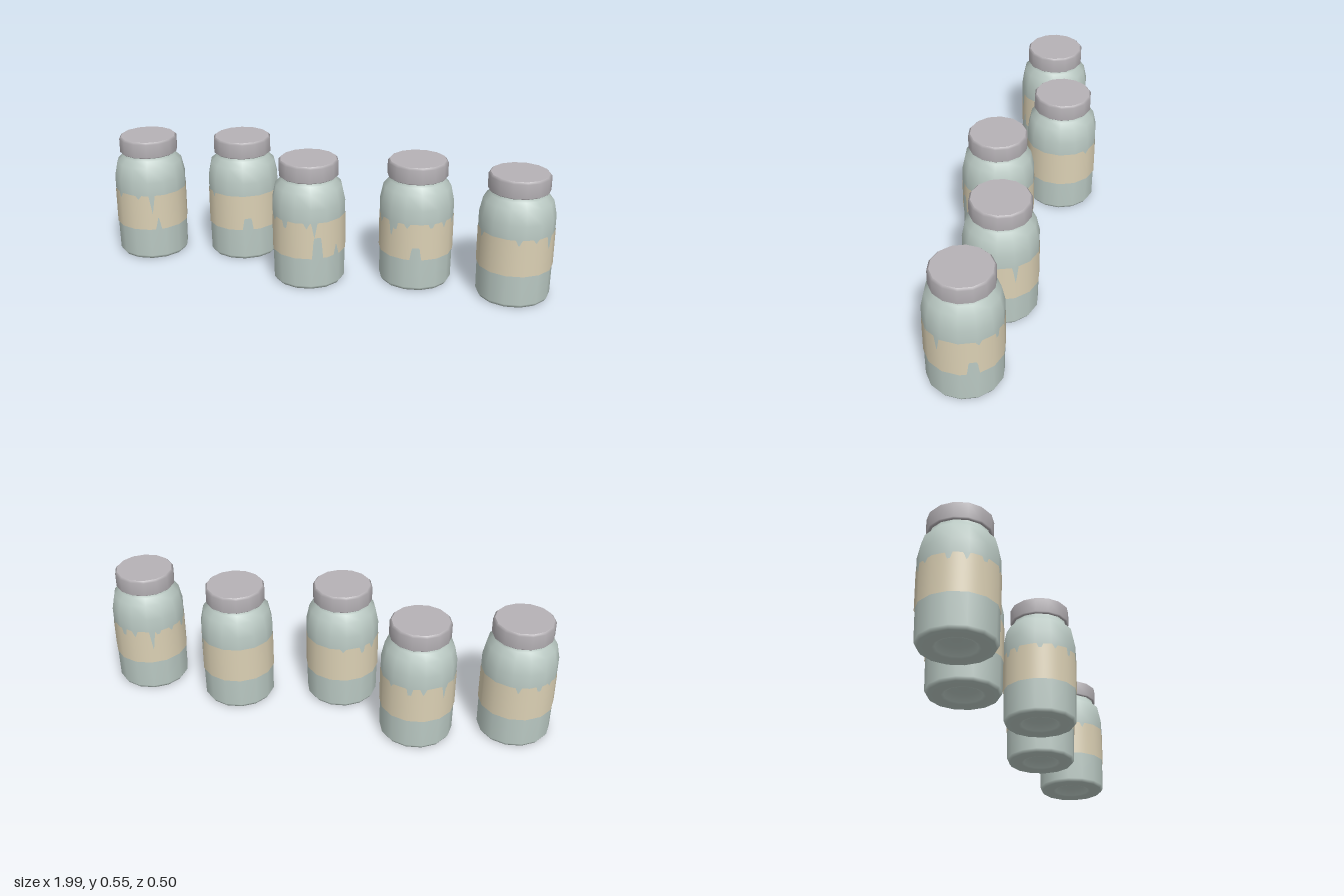
import * as THREE from 'three';

const SIDES = 14;
const glass = new THREE.MeshStandardMaterial({ color: 0xbccbc5 });
const metal = new THREE.MeshStandardMaterial({ color: 0xb6b2b6 });
const paper = new THREE.MeshStandardMaterial({ color: 0xdbd0b4, side: THREE.DoubleSide });

function lathe(name, profile, material) {
  const points = profile.map(([r, y]) => new THREE.Vector2(r, y));
  const mesh = new THREE.Mesh(new THREE.LatheGeometry(points, SIDES), material);
  mesh.name = name;
  return mesh;
}

// Tears: pointed ones are V-shaped, blunt ones have a flat end
const pointed = (angle, depth) => ({ angle, depth, width: 5, blunt: 1 });
const blunt = (angle, depth) => ({ angle, depth, width: 9, blunt: 3 });

// Small nicks along the upper edge, alternating in shape and varying in depth
function nicks(start) {
  return Array.from({ length: 7 }, (_, i) => ({
    angle: start + i * 29 + 5 * Math.sin(i * 2.4),
    depth: 0.025 + 0.008 * Math.sin(i * 1.7 + start),
    width: 5,
    blunt: 1 + (i % 2),
  }));
}

// Depth of paper missing at an angle in degrees
function tearDepth(tears, deg) {
  let missing = 0;
  for (const { angle, depth, width, blunt: flat } of tears) {
    const off = Math.abs(((deg - angle + 540) % 360) - 180);
    if (off < width) missing = Math.max(missing, depth * Math.min(1, (1 - off / width) * flat));
  }
  return missing;
}

// Thin torn paper band that follows the faceted jar wall
function label(topTears, bottomTears) {
  const steps = SIDES * 20, pos = [], normal = [], index = [];
  const facet = (Math.PI * 2) / SIDES;
  for (let i = 0; i <= steps; i++) {
    const a = (i / steps) * Math.PI * 2, deg = (i / steps) * 360;
    const r = (0.1615 * Math.cos(facet / 2)) / Math.cos((a % facet) - facet / 2);
    const low = 0.147 + tearDepth(bottomTears, deg);
    const high = Math.max(low, 0.31 - tearDepth(topTears, deg));
    for (const y of [low, high]) {
      pos.push(r * Math.sin(a), y, r * Math.cos(a));
      normal.push(Math.sin(a), 0, Math.cos(a));
    }
    const k = i * 2;
    if (i < steps) index.push(k, k + 2, k + 1, k + 1, k + 2, k + 3);
  }
  const g = new THREE.BufferGeometry();
  g.setAttribute('position', new THREE.Float32BufferAttribute(pos, 3));
  g.setAttribute('normal', new THREE.Float32BufferAttribute(normal, 3));
  g.setIndex(index);
  const mesh = new THREE.Mesh(g, paper);
  mesh.name = 'tornLabel';
  return mesh;
}

// Body with a recessed base, rounded shoulder and short neck
const bodyProfile = [
  [0, 0.03], [0.065, 0.03], [0.08, 0.003], [0.092, 0], [0.147, 0], [0.157, 0.015],
  [0.16, 0.31], [0.16, 0.37], [0.146, 0.435], [0.12, 0.46], [0.116, 0.48],
];
const lidProfile = [
  [0.108, 0.476], [0.124, 0.475], [0.13, 0.48], [0.13, 0.541], [0.122, 0.55], [0.122, 0.55], [0, 0.55],
];

// Position and main tears of each jar; angle 0 faces the front, 90 faces +x
const jars = [
  { x: -0.84, z: 0.063, nickStart: 190, top: [pointed(31, 0.09)], bottom: [pointed(40, 0.06)] },
  { x: -0.44, z: -0.09, nickStart: 150, top: [pointed(238, 0.07)], bottom: [blunt(32, 0.055)] },
  { x: -0.04, z: 0.088, nickStart: 200, top: [pointed(31, 0.07)], bottom: [blunt(36, 0.095), pointed(70, 0.055)] },
  { x: 0.4, z: -0.072, nickStart: -50, top: [pointed(-24, 0.07), pointed(130, 0.085)], bottom: [blunt(17, 0.055)] },
  { x: 0.839, z: -0.07, nickStart: 131, top: [pointed(16, 0.03), pointed(43, 0.02), pointed(70, 0.068), pointed(212, 0.1)], bottom: [blunt(122, 0.06)] },
];

export function createModel() {
  const model = new THREE.Group();
  model.name = 'jarRow';
  for (const { x, z, nickStart, top, bottom } of jars) {
    const jar = new THREE.Group();
    jar.name = 'jar';
    jar.add(
      lathe('jarBody', bodyProfile, glass),
      lathe('lid', lidProfile, metal),
      label([...top, ...nicks(nickStart)], bottom),
    );
    jar.position.set(x, 0, z);
    model.add(jar);
  }
  return model;
}
